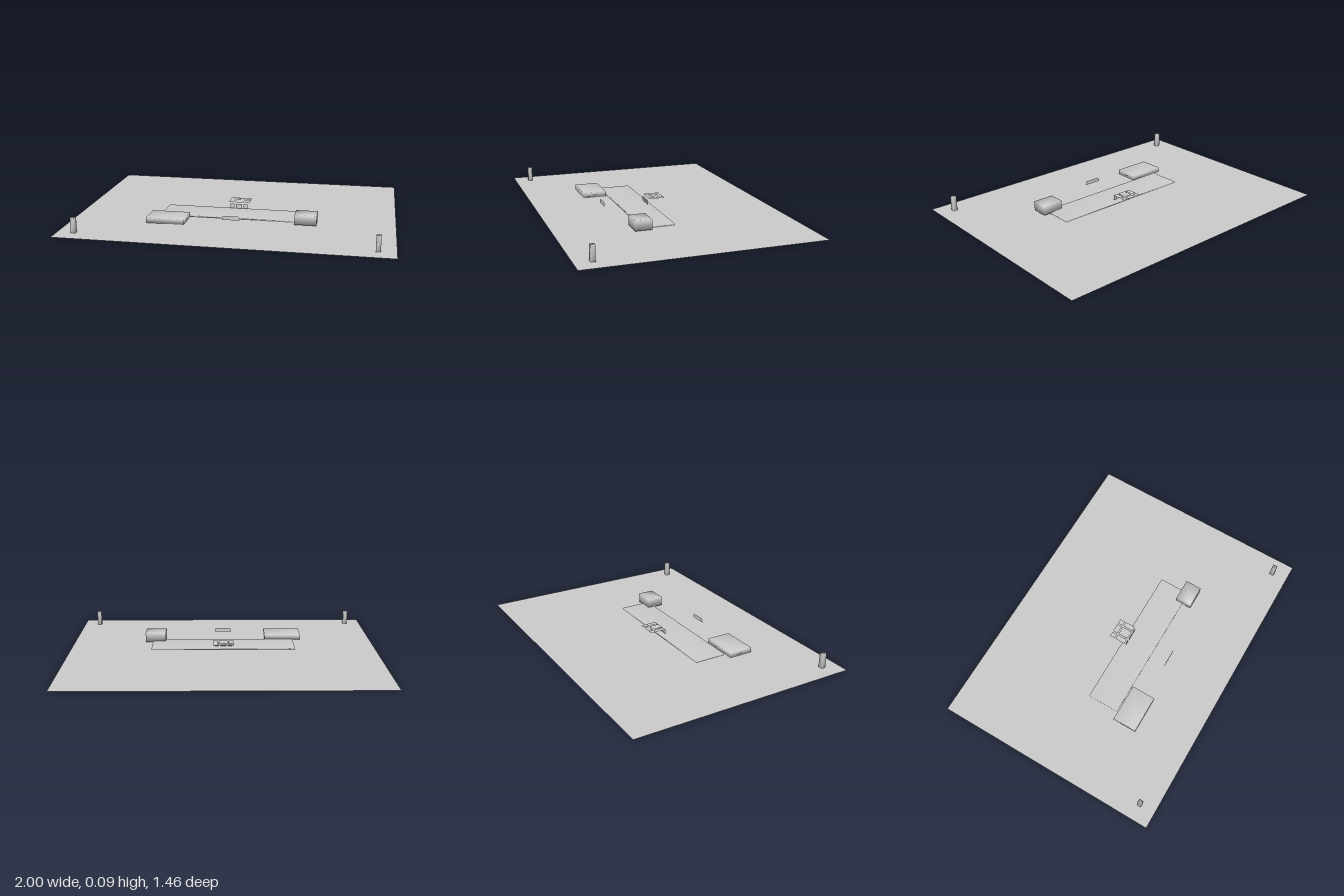
import * as THREE from 'three';
import { mergeVertices } from 'three/addons/utils/BufferGeometryUtils.js';

export function createModel() {
  const model = new THREE.Group();
  const grey = new THREE.MeshStandardMaterial({ color: 0xcccccc, side: THREE.DoubleSide });
  grey.name = 'plain grey';

  const add = (name, geometry) => {
    const mesh = new THREE.Mesh(geometry, grey);
    mesh.name = name;
    model.add(mesh);
    return mesh;
  };

  // Block given by its limits, with corners shared so it shades smoothly
  const block = (name, x0, x1, y0, y1, z0, z1) => {
    let g = new THREE.BoxGeometry(x1 - x0, y1 - y0, z1 - z0);
    g.deleteAttribute('uv');
    g.deleteAttribute('normal');
    g = mergeVertices(g);
    g.computeVertexNormals();
    add(name, g).position.set((x0 + x1) / 2, (y0 + y1) / 2, (z0 + z1) / 2);
  };

  // Flat outline standing upright and facing the front
  const upright = (name, points, z) => {
    const shape = new THREE.Shape(points.map(([x, y]) => new THREE.Vector2(x, y)));
    add(name, new THREE.ShapeGeometry(shape)).position.z = z;
  };

  // Flat horizontal sheet
  const sheet = (name, x0, x1, y, z0, z1) => {
    const g = new THREE.PlaneGeometry(x1 - x0, z1 - z0).rotateX(-Math.PI / 2);
    add(name, g).position.set((x0 + x1) / 2, y, (z0 + z1) / 2);
  };

  // Ground and low platform
  sheet('ground', -1, 1, 0, -0.73, 0.73);
  block('platform', -0.47, 0.47, 0.001, 0.012, 0.005, 0.21);

  // Two buildings beside the platform
  block('lowBuilding', -0.525, -0.283, 0.002, 0.036, 0.22, 0.375);
  block('tallBuilding', 0.385, 0.52, 0.008, 0.07, 0.165, 0.27);

  // Gate posts at the front corners
  for (const x of [-0.895, 0.895]) block('gatePost', x - 0.014, x + 0.014, 0.001, 0.095, 0.612, 0.64);

  // Canopy panels in two rows, with a hanging plate under each column
  const columns = [[-0.068, -0.036], [-0.028, 0.026], [0.034, 0.066]];
  for (const [x0, x1] of columns) {
    sheet('rearCanopyPanel', x0, x1, 0.058, -0.078, -0.045);
    sheet('frontCanopyPanel', x0, x1, 0.058, -0.038, 0.028);
  }
  for (const [x0, x1] of [[-0.058, -0.032], [-0.02, 0.018], [0.03, 0.056]]) {
    upright('hangingPlate', [[x0, 0.02], [x1, 0.02], [x1, 0.05], [x0, 0.05]], 0.035);
  }

  // Sign panel with clipped upper corners
  upright('signPanel', [
    [-0.056, 0.032], [0.056, 0.032], [0.054, 0.048],
    [0.046, 0.058], [-0.046, 0.058], [-0.054, 0.048],
  ], 0.324);

  return model;
}
